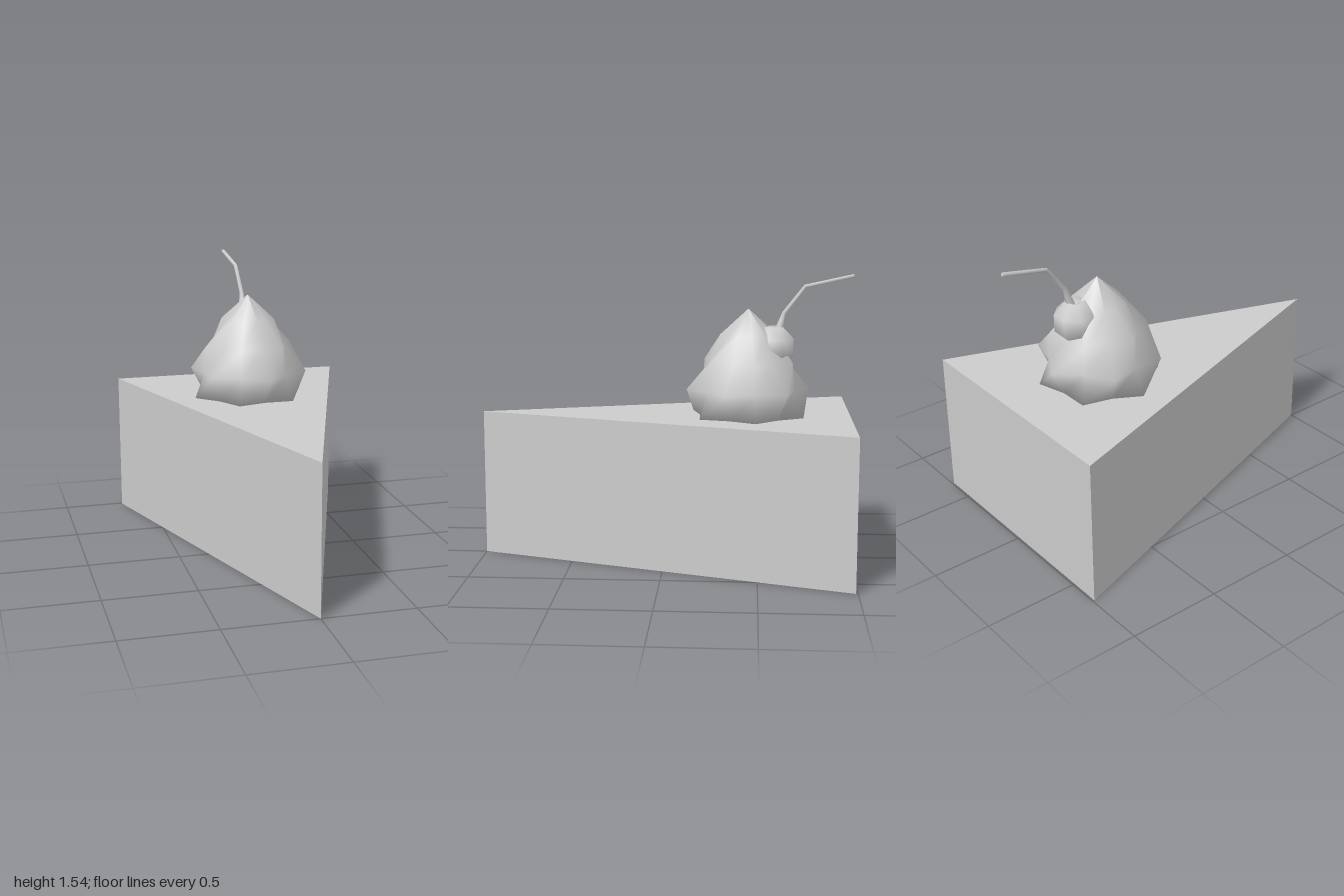
import * as THREE from 'three';
import { toCreasedNormals } from 'three/addons/utils/BufferGeometryUtils.js';

const V = (x, y, z) => new THREE.Vector3(x, y, z);

// Skin over a list of closed rings, each ring counterclockwise about the direction of travel
function loft(rings) {
  const n = rings[0].length, index = [];
  for (let j = 0; j < rings.length - 1; j++) {
    for (let i = 0; i < n; i++) {
      const k = (i + 1) % n;
      const a = j * n + i, b = j * n + k, c = a + n, d = b + n;
      index.push(a, b, c, b, d, c);
    }
  }
  const geo = new THREE.BufferGeometry().setFromPoints(rings.flat());
  geo.setIndex(index);
  geo.computeVertexNormals();
  return geo;
}

// Triangular slice, tip to the front
function sliceGeometry() {
  const shape = new THREE.Shape([[0, -1], [0.665, 0.99], [-0.665, 0.99]].map(p => new THREE.Vector2(...p)));
  return new THREE.ExtrudeGeometry(shape, { depth: 0.79, bevelEnabled: false }).rotateX(-Math.PI / 2);
}

// Six-lobed piped swirl, each ring turned 30 degrees further than the one below
function creamGeometry() {
  const levels = [[0, 0.79], [0.32, 0.79], [0.33, 0.93], [0.255, 1.08], [0.15, 1.225], [0, 1.36]];
  return loft(levels.map(([radius, y], level) =>
    Array.from({ length: 12 }, (_, i) => {
      const angle = THREE.MathUtils.degToRad(8 + 30 * (level + i));
      const r = radius * (i % 2 ? 0.8 : 1);
      return V(r * Math.sin(angle), y, -0.44 + r * Math.cos(angle));
    })));
}

// Low-poly cherry with a shallow dimple on top
function cherryGeometry() {
  const profile = [[0, -0.11], [0.05, -0.108], [0.115, -0.045], [0.115, 0.045], [0.05, 0.11], [0, 0.09]];
  return new THREE.LatheGeometry(profile.map(p => new THREE.Vector2(...p)), 8, Math.PI / 8)
    .translate(0, 1.155, -0.575);
}

// Bent stalk, flared where it meets the cherry, closed at the tip
function stemGeometry() {
  const path = [V(0.01, 1.245, -0.6), V(0.012, 1.34, -0.63), V(0.004, 1.48, -0.74), V(-0.01, 1.535, -0.997)];
  const radii = [0.024, 0.012, 0.011, 0.011];
  const X = V(1, 0, 0);
  const rings = path.map((p, j) => {
    const before = path[Math.max(j - 1, 0)], after = path[Math.min(j + 1, path.length - 1)];
    const side = after.clone().sub(before).normalize().cross(X);
    return Array.from({ length: 6 }, (_, i) => {
      const a = i * Math.PI / 3;
      return p.clone().addScaledVector(X, radii[j] * Math.cos(a)).addScaledVector(side, radii[j] * Math.sin(a));
    });
  });
  const tip = path[path.length - 1];
  rings.push(Array.from({ length: 6 }, () => tip.clone()));
  return toCreasedNormals(loft(rings), 1.1);
}

export function createModel() {
  const material = new THREE.MeshStandardMaterial({ color: 0xcccccc });
  const model = new THREE.Group();
  model.name = 'cakeSlice';
  const parts = {
    slice: sliceGeometry(),
    whippedCream: creamGeometry(),
    cherry: cherryGeometry(),
    cherryStem: stemGeometry(),
  };
  for (const [name, geometry] of Object.entries(parts)) {
    const mesh = new THREE.Mesh(geometry, material);
    mesh.name = name;
    model.add(mesh);
  }
  return model;
}
